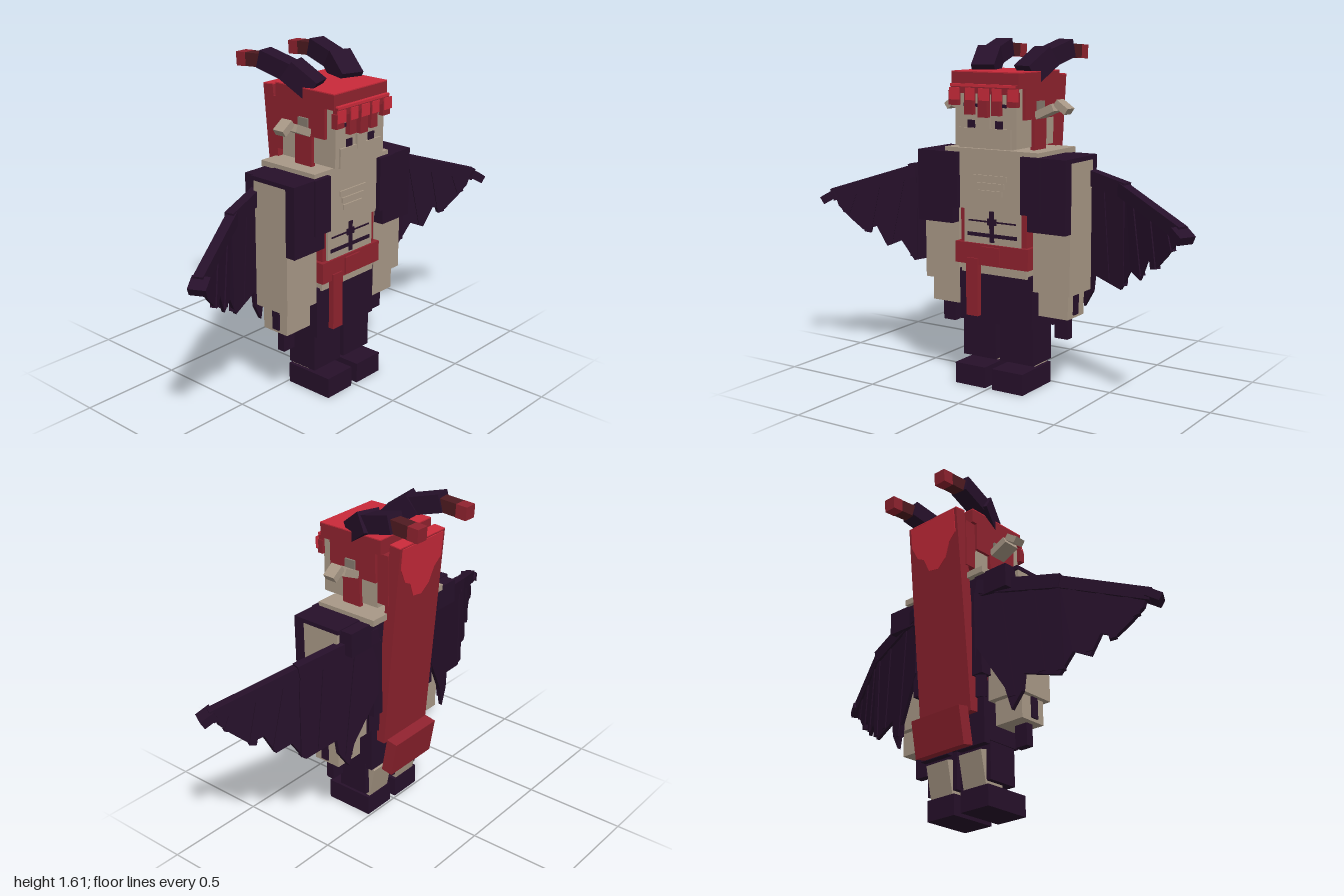
import * as THREE from 'three';

const mat = (name, color) => {
  const m = new THREE.MeshStandardMaterial({ color });
  m.name = name;
  return m;
};

export function createModel() {
  const dark = mat('dark purple', 0x26102a), tan = mat('tan', 0xa89886);
  const red = mat('deep red', 0x8f222e), bright = mat('bright red', 0xc92a3a);
  const brown = mat('horn brown', 0x4e1a20), grey = mat('inner ear', 0x857a6e);
  const root = new THREE.Group();

  const add = (name, geo, m) => {
    const mesh = new THREE.Mesh(geo, m);
    mesh.name = name;
    root.add(mesh);
    return mesh;
  };
  // Box from its limits on each axis
  const box = (name, m, x0, x1, y0, y1, z0, z1) => {
    const mesh = add(name, new THREE.BoxGeometry(Math.abs(x1 - x0), y1 - y0, z1 - z0), m);
    mesh.position.set((x0 + x1) / 2, (y0 + y1) / 2, (z0 + z1) / 2);
    return mesh;
  };
  // Square bar between two points
  const beam = (name, m, a, b, w, h) => {
    const p = new THREE.Vector3(...a), q = new THREE.Vector3(...b);
    const mesh = add(name, new THREE.BoxGeometry(w, h, p.distanceTo(q)), m);
    mesh.position.copy(p).lerp(q, 0.5);
    mesh.lookAt(q);
    return mesh;
  };

  // Torso, coat and belt
  box('chest', tan, -0.175, 0.175, 0.84, 1.11, 0, 0.235);
  box('belly', tan, -0.155, 0.155, 0.66, 0.85, 0.01, 0.225);
  box('collar', tan, -0.255, 0.255, 1.09, 1.12, -0.09, 0.235);
  box('neck', tan, -0.1, 0.1, 1.11, 1.15, 0.03, 0.2);
  box('hips', tan, -0.18, 0.18, 0.535, 0.6, 0, 0.212);
  box('belt', red, -0.2, 0.2, 0.58, 0.68, -0.01, 0.235);
  box('buckle', red, -0.05, 0.05, 0.59, 0.67, 0.23, 0.245);
  box('sash', red, -0.135, -0.07, 0.335, 0.61, 0.215, 0.243);
  box('coatBack', dark, -0.22, 0.22, 0.6, 1.09, -0.06, 0.005);
  box('pants', dark, -0.2, 0.2, 0.3, 0.545, -0.02, 0.2);
  [[0.99, 0.09], [0.955, 0.075], [0.92, 0.065]].forEach(([y, w]) =>
    box('chestRidge', tan, -w, w, y - 0.012, y + 0.012, 0.23, 0.243));
  box('bellyMark', dark, -0.135, 0.135, 0.713, 0.73, 0.22, 0.229);
  box('bellyMark', dark, -0.13, 0.13, 0.782, 0.789, 0.22, 0.229);
  box('bellyMark', dark, -0.012, 0.012, 0.69, 0.835, 0.22, 0.23);
  box('bellyMark', dark, -0.025, 0.025, 0.77, 0.8, 0.22, 0.23);

  // Head, face and hair
  box('head', tan, -0.165, 0.165, 1.135, 1.41, -0.04, 0.275);
  box('chin', tan, -0.14, 0.14, 1.13, 1.22, 0.27, 0.285);
  box('nose', tan, -0.03, 0.03, 1.2, 1.27, 0.27, 0.287);
  box('hairCap', red, -0.18, 0.18, 1.4, 1.468, -0.07, 0.28);
  box('hairTop', bright, -0.18, 0.18, 1.468, 1.473, -0.07, 0.28);
  box('hairBack', red, -0.165, 0.165, 1.16, 1.4, -0.1, -0.035);
  box('fringeBand', red, -0.175, 0.175, 1.375, 1.415, 0.27, 0.297);
  box('fringeTop', bright, -0.175, 0.175, 1.405, 1.417, 0.27, 0.3);
  [[-0.16, 1.32, 0.05], [-0.075, 1.28, 0.045], [0, 1.27, 0.05], [0.07, 1.28, 0.045], [0.155, 1.32, 0.05]]
    .forEach(([x, y, w]) => {
      box('fringeLock', red, x - w / 2, x + w / 2, y, 1.385, 0.27, 0.3);
      box('fringeShine', bright, x - w / 2 + 0.006, x + w / 2 + 0.01, 1.345, 1.4, 0.296, 0.302);
    });

  // Cape with a bright top and a loose tail
  const tilt = (mesh, a) => { mesh.rotation.x = a; return mesh; };
  tilt(box('cape', red, -0.16, 0.16, 0.43, 1.45, -0.117, -0.059), 0.094);
  const patch = new THREE.Shape([[-0.145, 0.5], [-0.145, 0.38], [-0.1, 0.34], [-0.07, 0.27], [-0.02, 0.23],
    [0.04, 0.24], [0.07, 0.31], [0.11, 0.33], [0.145, 0.4], [0.145, 0.5]].map(p => new THREE.Vector2(...p)));
  const shine = add('capePatch', new THREE.ExtrudeGeometry(patch, { depth: 0.005, bevelEnabled: false }), bright);
  shine.geometry.translate(0, 0.006, -0.033);
  shine.position.set(0, 0.94, -0.088);
  shine.rotation.x = 0.094;
  const capeTop = box('capeTop', bright, -0.16, 0.16, -0.003, 0.003, -0.029, 0.029);
  capeTop.geometry.translate(0, 0.512, 0);
  capeTop.position.set(0, 0.94, -0.088);
  capeTop.rotation.x = 0.094;
  shine.rotation.x = capeTop.rotation.x = root.getObjectByName('cape').rotation.x = -0.094;
  tilt(box('capeTail', red, -0.15, 0.15, 0.265, 0.445, -0.122, -0.063), -0.18);

  // Depth of the folded wing at a given x
  const wingZ = x => x < 0.6 ? -0.06 + (x - 0.2) * 0.29 : 0.056 + (x - 0.6) * 0.52;
  const wingParts = [
    [[0.2, 1.05], [0.6, 0.97], [0.58, 0.51], [0.42, 0.55], [0.41, 0.47], [0.36, 0.39], [0.33, 0.5], [0.2, 0.72]],
    [[0.6, 0.97], [0.94, 0.85], [0.92, 0.78], [0.87, 0.72], [0.81, 0.66], [0.75, 0.68], [0.705, 0.58],
      [0.64, 0.61], [0.58, 0.51]],
  ];

  for (const s of [-1, 1]) {
    const b = (name, m, x0, x1, ...r) => box(name, m, s * x0, s * x1, ...r);
    const bar = (name, m, p, q, w, h) =>
      beam(name, m, [s * p[0], p[1], p[2]], [s * q[0], q[1], q[2]], w, h);

    // Legs
    b('foot', dark, 0.02, 0.187, 0, 0.1, 0.01, 0.26);
    b('shin', dark, 0.012, 0.195, 0.12, 0.31, 0.02, 0.18);
    tilt(b('ankle', tan, 0.035, 0.17, 0.09, 0.27, 0.0, 0.11), -0.2);
    b('coatTail', dark, 0.03, 0.2, 0.28, 0.6, -0.025, 0.01);
    bar('coatStrap', dark, [0.21, 1.0, -0.06], [0.18, 0.5, -0.02], 0.05, 0.03);

    // Arms, sleeves and claws
    b('arm', tan, 0.205, 0.398, 0.48, 1.09, 0, 0.2);
    b('sleeveFront', dark, 0.205, 0.402, 0.765, 1.1, 0.198, 0.25);
    b('sleeveTop', dark, 0.25, 0.402, 1.08, 1.1, -0.01, 0.21);
    b('shoulderBack', dark, 0.19, 0.38, 0.98, 1.095, -0.07, 0.002);
    b('lapel', dark, 0.172, 0.275, 0.84, 1.1, 0.15, 0.258);
    b('sideSash', red, 0.15, 0.18, 0.66, 0.84, 0.03, 0.215);
    b('hand', tan, 0.22, 0.375, 0.365, 0.49, 0.03, 0.175);
    b('claw', dark, 0.28, 0.348, 0.26, 0.37, 0.09, 0.13);
    b('handPlate', dark, 0.37, 0.383, 0.38, 0.48, 0.09, 0.13);

    // Face side details
    b('brow', dark, 0.035, 0.115, 1.315, 1.33, 0.27, 0.281);
    b('eye', dark, 0.055, 0.095, 1.22, 1.255, 0.27, 0.28);
    b('sideHair', red, 0.16, 0.18, 1.26, 1.41, -0.04, 0.225);
    b('sideburn', red, 0.16, 0.182, 1.12, 1.27, 0.05, 0.15);

    // Ears
    const inner = b('ear', tan, 0.175, 0.275, 1.278, 1.313, 0.055, 0.145);
    inner.rotation.z = s * 0.42;
    const outer = b('earTip', tan, 0.265, 0.335, 1.3, 1.333, 0.065, 0.125);
    outer.rotation.z = -s * 0.6;
    b('earHollow', grey, 0.18, 0.19, 1.27, 1.34, 0.075, 0.13);

    // Horns, curving back to a red tip
    bar('hornBase', dark, [0.115, 1.455, 0.115], [0.155, 1.54, 0.0], 0.11, 0.1);
    bar('hornMiddle', dark, [0.15, 1.525, 0.015], [0.172, 1.57, -0.15], 0.085, 0.085);
    bar('hornEnd', brown, [0.17, 1.56, -0.14], [0.172, 1.553, -0.24], 0.062, 0.062);
    bar('hornTip', red, [0.172, 1.553, -0.235], [0.172, 1.549, -0.292], 0.064, 0.064);

    // Wing membrane, bent by depth
    for (const pts of wingParts) {
      const shape = new THREE.Shape(pts.map(([x, y]) => new THREE.Vector2(s * x, y)));
      const geo = new THREE.ExtrudeGeometry(shape, { depth: 0.02, bevelEnabled: false });
      const pos = geo.attributes.position;
      for (let i = 0; i < pos.count; i++)
        pos.setZ(i, pos.getZ(i) - 0.01 + wingZ(Math.abs(pos.getX(i))));
      geo.computeVertexNormals();
      add('wingMembrane', geo, dark);
    }
    // Wing bones and hooked end
    const at = (x, y, dz = 0) => [x, y, wingZ(x) + dz];
    bar('wingArm', dark, at(0.2, 1.03), at(0.6, 0.96), 0.045, 0.07);
    bar('wingForearm', dark, at(0.57, 0.965), at(0.95, 0.835), 0.045, 0.06);
    bar('wingHook', dark, at(0.93, 0.845, 0.01), at(0.985, 0.81, 0.01), 0.08, 0.04);
    [[0.3, 1.0, 0.36, 0.45], [0.46, 0.97, 0.5, 0.54], [0.58, 0.96, 0.585, 0.53],
      [0.64, 0.93, 0.7, 0.6], [0.75, 0.9, 0.795, 0.65], [0.85, 0.87, 0.89, 0.745]]
      .forEach(([x0, y0, x1, y1]) => bar('wingFinger', dark, at(x0, y0), at(x1, y1), 0.03, 0.035));
  }
  return root;
}
